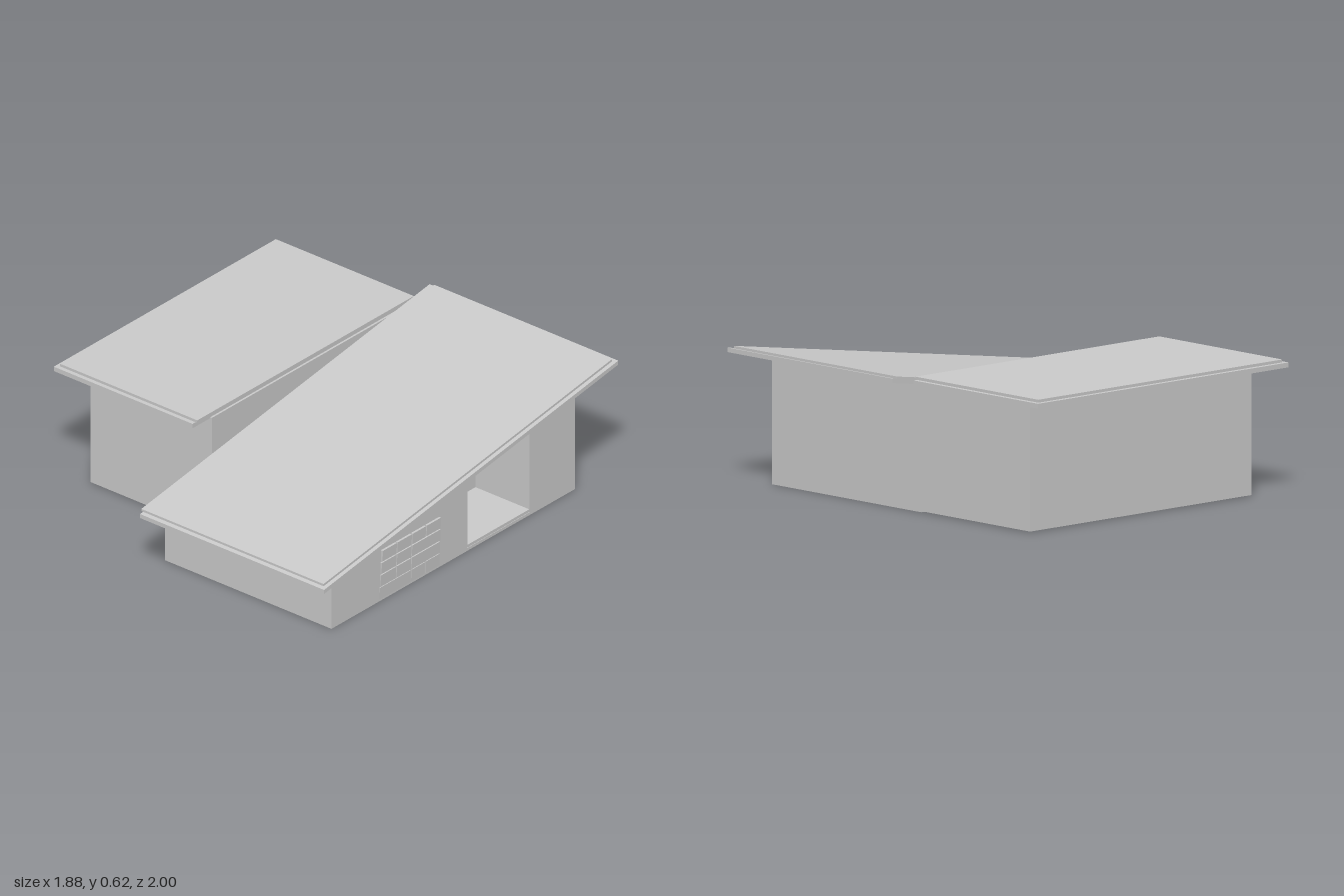
import * as THREE from 'three';

const grey = new THREE.MeshStandardMaterial({ color: 0xcccccc, side: THREE.DoubleSide });

export function createModel() {
  const house = new THREE.Group();
  house.name = 'house';

  const add = (name, geometry, parent = house) => {
    const mesh = new THREE.Mesh(geometry, grey);
    mesh.name = name;
    parent.add(mesh);
    return mesh;
  };

  // Box given by its limits on each axis
  const box = (name, x0, x1, y0, y1, z0, z1, parent) =>
    add(name, new THREE.BoxGeometry(x1 - x0, y1 - y0, z1 - z0)
      .translate((x0 + x1) / 2, (y0 + y1) / 2, (z0 + z1) / 2), parent);

  // Side profile of [z, y] points drawn out from x0 to x1
  const profile = (name, points, x0, x1, parent) => {
    const shape = new THREE.Shape(points.map(([z, y]) => new THREE.Vector2(z, y)));
    const geometry = new THREE.ExtrudeGeometry(shape, { depth: x1 - x0, bevelEnabled: false });
    return add(name, geometry.rotateY(-Math.PI / 2).translate(x1, 0, 0), parent);
  };

  // Underside of the pitched roof
  const eave = (z) => 0.292 + 0.152 * (1 - z);

  // Main wing: walls rise to the sloping roof, with a porch cut into one side
  const wall = (name, z0, z1, x1) => profile(name,
    [[z0, 0], [z1, 0], [z1, eave(z1) + 0.004], [z0, eave(z0) + 0.004]], -0.13, x1);
  wall('frontRoomWalls', -0.105, 0.82, 0.83);
  wall('porchBackWall', -0.525, -0.105, 0.52);
  wall('backRoomWalls', -0.835, -0.525, 0.83);

  // Pitched roof in two layers, the upper one set in from the edges
  const pitched = (name, end, low, high, x0, x1) => profile(name, [
    [-end, eave(-end) + low], [end, eave(end) + low],
    [end, eave(end) + high], [-end, eave(-end) + high]], x0, x1);
  pitched('pitchedRoofFascia', 1, 0, 0.02, -0.12, 0.94);
  pitched('pitchedRoofTop', 0.98, 0.02, 0.031, -0.13, 0.92);

  // Flat-roofed wing
  box('sideWingWalls', -0.83, -0.13, 0.005, 0.58, -0.835, 0.5);
  box('flatRoofFascia', -0.94, -0.14, 0.575, 0.597, -0.89, 0.62);
  box('flatRoofTop', -0.92, -0.13, 0.597, 0.61, -0.87, 0.6);

  // Porch: step, door with frame and knob, four small windows
  const porch = new THREE.Group();
  porch.name = 'porch';
  house.add(porch);
  box('porchFloor', 0.52, 0.832, 0.002, 0.016, -0.525, -0.1, porch);
  box('porchFloorTop', 0.52, 0.83, 0.016, 0.03, -0.525, -0.105, porch);
  profile('doorFrame',
    [[-0.4, 0.03], [-0.225, 0.03], [-0.238, 0.255], [-0.397, 0.27]], 0.52, 0.526, porch);
  profile('door',
    [[-0.39, 0.03], [-0.238, 0.03], [-0.245, 0.247], [-0.388, 0.26]], 0.526, 0.531, porch);
  add('doorKnob', new THREE.SphereGeometry(0.009, 12, 8), porch).position.set(0.537, 0.133, -0.366);
  for (const z of [-0.17, -0.45]) {
    for (const y of [0.13, 0.2]) {
      box('porchWindow', 0.52, 0.526, y - 0.019, y + 0.019, z - 0.02, z + 0.02, porch);
    }
  }

  // Leaning panel of slabs with narrow joints on the outer wall
  const panel = new THREE.Group();
  panel.name = 'slabPanel';
  house.add(panel);
  const cuts = [[0.283, 0.187], [0.385, 0.283], [0.385, 0.283], [0.385, 0.283, 0.187]];
  const levels = [0.008, 0.072, 0.134, 0.196, 0.256];
  const gap = 0.003;
  cuts.forEach((row, i) => {
    const edges = [0.498 - i * 0.004, ...row, 0.085];
    const [y0, y1] = [levels[i] + gap, levels[i + 1] - gap];
    for (let k = 0; k < edges.length - 1; k++) {
      const slab = box('slab', 0.822, 0.831, y0, y1, edges[k + 1] + gap, edges[k] - gap, panel);
      // Lean the slabs outward with height
      const p = slab.geometry.attributes.position;
      for (let v = 0; v < p.count; v++) {
        if (p.getX(v) > 0.825) p.setX(v, 0.831 + 0.04 * p.getY(v));
      }
      slab.geometry.computeVertexNormals();
    }
  });

  return house;
}
